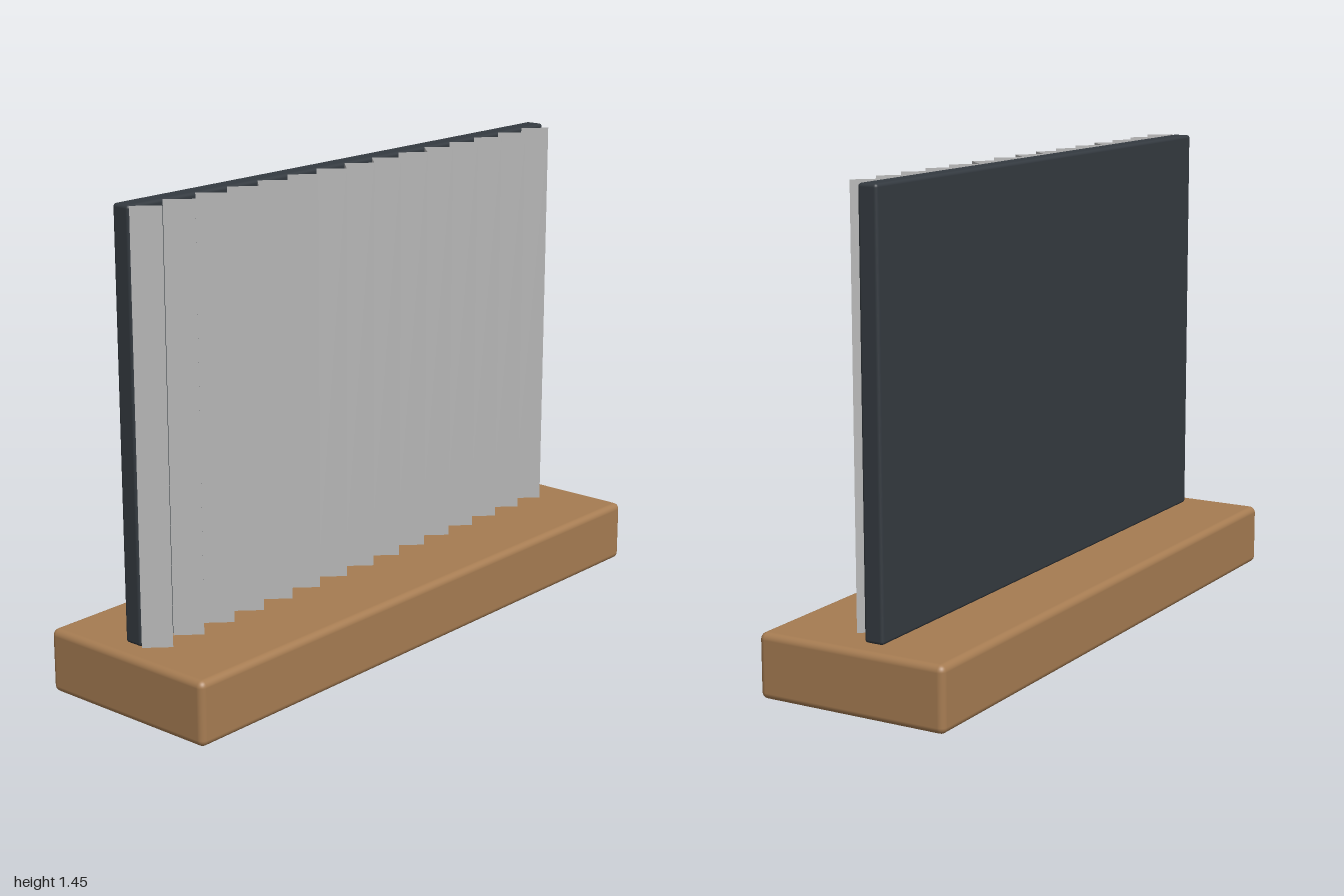
import * as THREE from 'three';
import { RoundedBoxGeometry } from 'three/addons/geometries/RoundedBoxGeometry.js';

export function createModel() {
  const model = new THREE.Group();
  const material = (name, color, side = THREE.FrontSide) => {
    const m = new THREE.MeshStandardMaterial({ color, side });
    m.name = name;
    return m;
  };
  const wood = material('wood', 0xa67c52);
  const charcoal = material('charcoal', 0x343a40);
  const silver = material('silver', 0xb8b8b8, THREE.DoubleSide);

  const add = (name, geometry, mat, x, y, z) => {
    const mesh = new THREE.Mesh(geometry, mat);
    mesh.name = name;
    mesh.position.set(x, y, z);
    model.add(mesh);
    return mesh;
  };

  const baseTop = 0.193, top = 1.45, height = top - baseTop, midY = (top + baseTop) / 2;

  // Wooden plinth and upright backing panel
  add('base', new RoundedBoxGeometry(2, baseTop, 0.606, 4, 0.02), wood, 0, baseTop / 2, 0);
  add('backPanel', new RoundedBoxGeometry(1.86, height, 0.062, 3, 0.01), charcoal, 0, midY, -0.035);

  // Vertical slats folded forward from the panel; only some pleats have a right half
  const count = 15, pitch = 1.86 / count, half = pitch / 2, depth = 0.062;
  const slat = new THREE.PlaneGeometry(Math.hypot(half, depth), height);
  const angle = Math.atan2(depth, half);
  const fullPleats = [3, 6, 7, 9];
  for (let i = 0; i < count; i++) {
    const x = -0.93 + i * pitch;
    add('leftSlat' + i, slat, silver, x + half / 2, midY, depth / 2).rotation.y = -angle;
    if (fullPleats.includes(i)) {
      add('rightSlat' + i, slat, silver, x + half * 1.5, midY, depth / 2).rotation.y = angle;
    }
  }
  return model;
}
